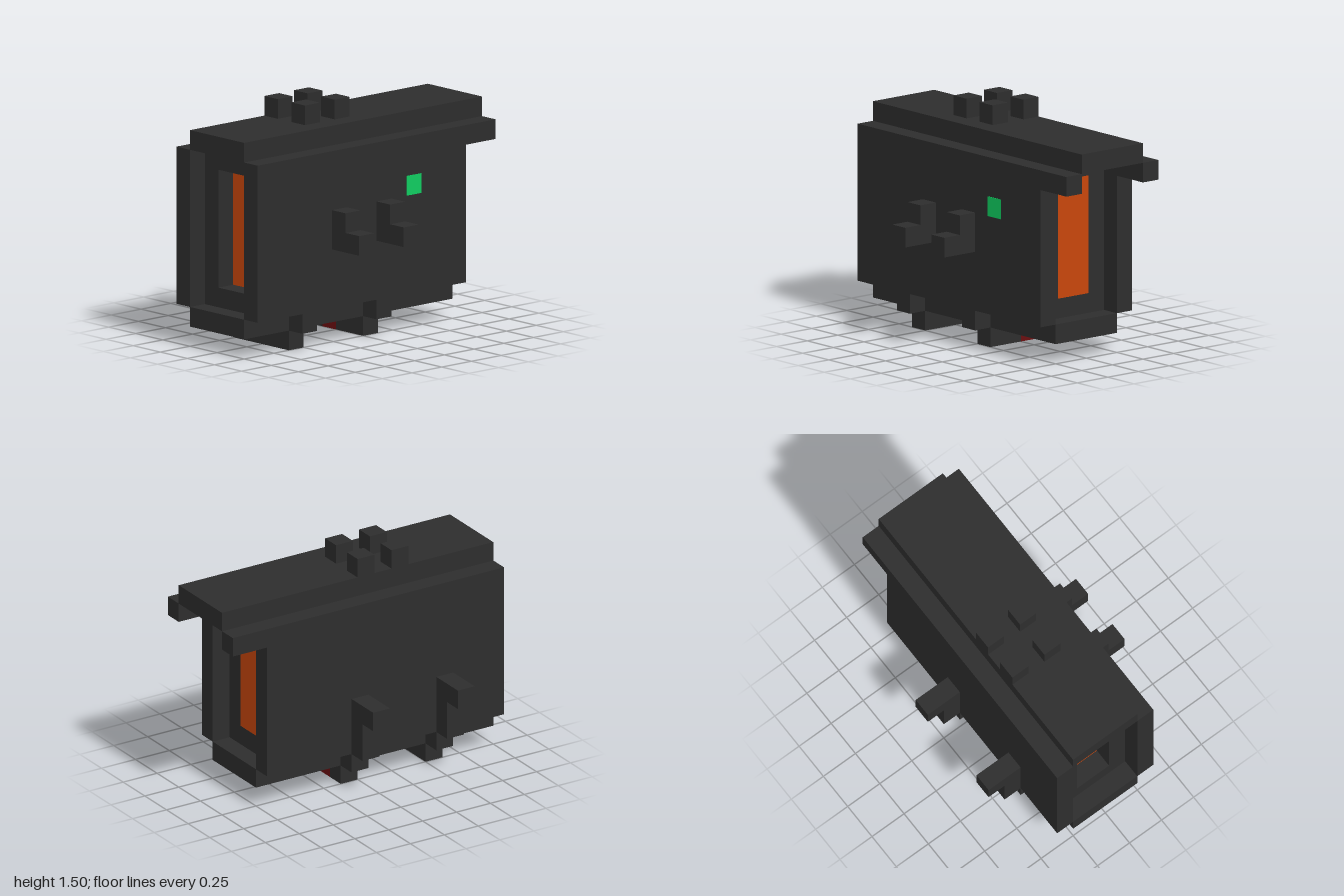
import * as THREE from 'three';

const U = 0.125; // one block

export function createModel() {
  const group = new THREE.Group();
  const mat = (name, color) => {
    const m = new THREE.MeshStandardMaterial({ color });
    m.name = name;
    return m;
  };
  const charcoal = mat('charcoal', 0x2d2d2d);
  const orange = mat('orange', 0xc8460c);
  const green = mat('green', 0x10cc60);
  const red = mat('darkRed', 0x6b0f10);

  // Box given by its extents in blocks
  const box = (name, [x0, x1], [y0, y1], [z0, z1], material = charcoal) => {
    const geo = new THREE.BoxGeometry((x1 - x0) * U, (y1 - y0) * U, (z1 - z0) * U);
    const mesh = new THREE.Mesh(geo, material);
    mesh.position.set((x0 + x1) * U / 2, (y0 + y1) * U / 2, (z0 + z1) * U / 2);
    mesh.name = name;
    group.add(mesh);
  };

  // Roof and floor slabs
  box('roof', [-2, 2], [10, 11], [-8, 8]);
  box('floor', [-2, 2], [1, 2], [-6, 8]);

  // Side walls, rear rails and the frame around the glowing core
  for (const s of [-1, 1]) {
    const span = (a, b) => (s > 0 ? [a, b] : [-b, -a]);
    box('sideWall', span(2, 3), [2, 10], [-6, 8]);
    box('rearRail', span(2, 3), [9, 10], [-8, -6]);
    box('framePost', span(1, 2), [2, 10], [-5, 7]);
  }
  box('frameSill', [-1, 1], [2, 3], [-5, 7]);
  box('frameLintel', [-1, 1], [9, 10], [-5, 7]);
  box('glowingCore', [-1, 1], [3, 9], [-5, 6], orange);

  // Stepped ribs under the floor; the rear one holds a red block
  for (const z of [4, -1]) {
    const depth = [z, z + 1];
    box('ribShoulder', [-3, -2], [1, 2], depth);
    box('ribShoulder', [2, 3], [1, 2], depth);
    if (z > 0) {
      box('rib', [-2, 2], [0, 1], depth);
    } else {
      box('rib', [-2, -1], [0, 1], depth);
      box('redBlock', [-1, 0], [0, 1], depth, red);
      box('rib', [0, 2], [0, 1], depth);
    }
  }

  // Roof studs
  for (const x of [-2, 0]) {
    for (const z of [0, 2]) box('roofStud', [x, x + 1], [11, 12], [z, z + 1]);
  }

  // Upturned brackets on the left
  for (const z of [-1, 2]) {
    box('leftBracketPlate', [3, 4], [5, 7], [z, z + 1]);
    box('leftBracketFoot', [4, 5], [5, 6], [z, z + 1]);
  }

  // Downturned brackets on the right
  for (const z of [-1, 4]) {
    box('rightBracketPlate', [-4, -3], [2, 5], [z, z + 1]);
    box('rightBracketArm', [-5, -3], [4, 5], [z, z + 1]);
  }

  // Green indicator on the left wall
  box('indicator', [2.99, 3.03], [7, 8], [-3, -2], green);

  return group;
}
